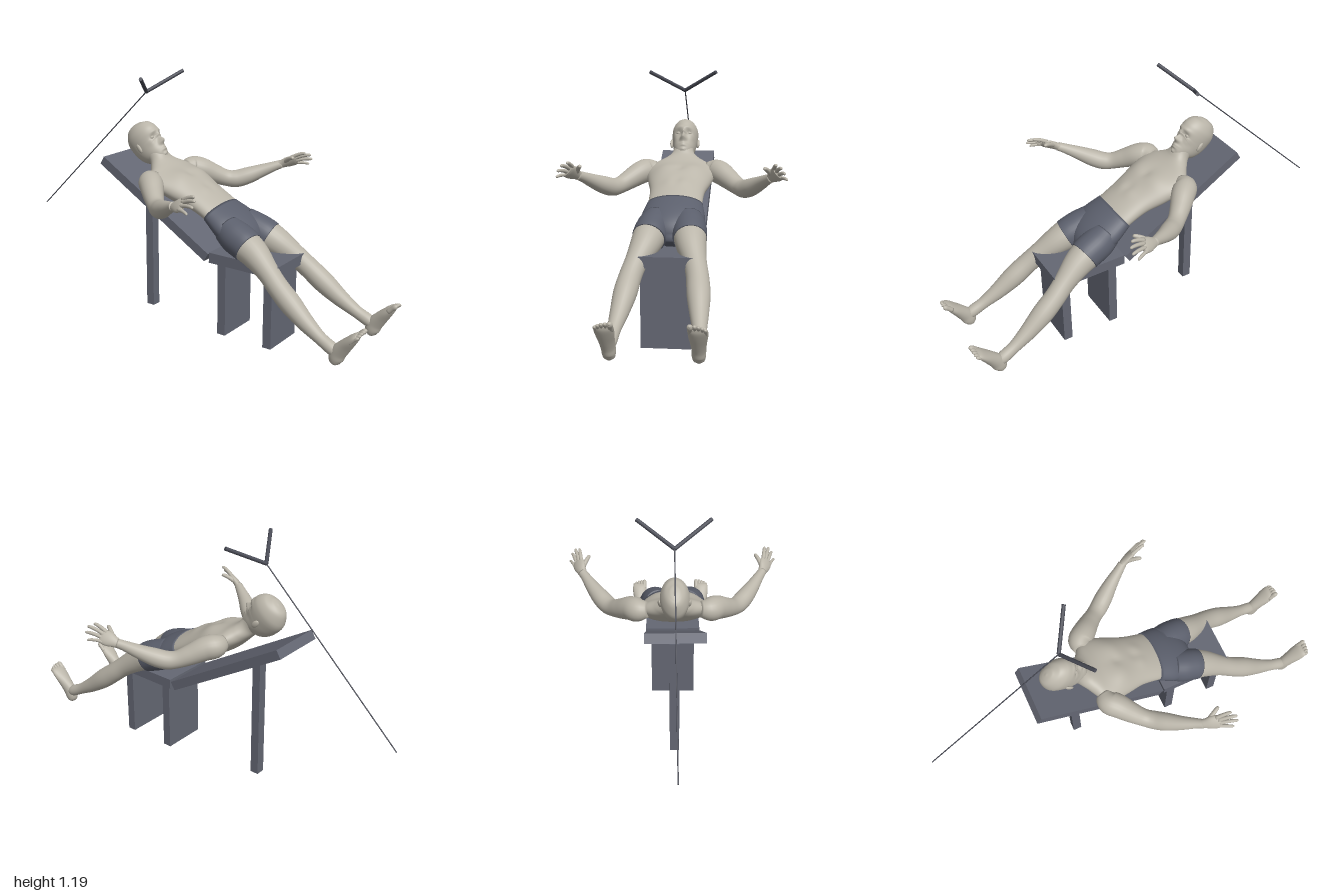
import * as THREE from 'three';

const paint = (name, color) => {
  const m = new THREE.MeshStandardMaterial({ color });
  m.name = name;
  return m;
};
const V = (x, y, z) => new THREE.Vector3(x, y, z);

// Smooth skin through elliptical sections [x, y, z, halfWidth, halfDepth]
function loft(rows, { side = [1, 0, 0], seg = 24, steps = 32, warp } = {}) {
  const spine = new THREE.CatmullRomCurve3(rows.map(r => V(r[0], r[1], r[2])), false, 'catmullrom');
  const radii = new THREE.CatmullRomCurve3(rows.map(r => V(r[3], r[4] ?? r[3], 0)), false, 'catmullrom');
  const pos = [], index = [];
  for (let i = 0; i <= steps; i++) {
    const t = i / steps, c = spine.getPoint(t), T = spine.getTangent(t), r = radii.getPoint(t);
    const S = V(...side);
    S.addScaledVector(T, -S.dot(T)).normalize();
    const N = S.clone().cross(T);
    for (let j = 0; j < seg; j++) {
      const a = j / seg * Math.PI * 2;
      const p = c.clone().addScaledVector(S, Math.cos(a) * r.x).addScaledVector(N, Math.sin(a) * r.y);
      if (warp) warp(p);
      pos.push(p.x, p.y, p.z);
    }
  }
  const at = (i, j) => i * seg + j % seg, end = (steps + 1) * seg;
  for (const r of [rows[0], rows[rows.length - 1]]) {
    const p = V(r[0], r[1], r[2]);
    if (warp) warp(p);
    pos.push(p.x, p.y, p.z);
  }
  for (let j = 0; j < seg; j++) {
    for (let i = 0; i < steps; i++) {
      index.push(at(i, j), at(i + 1, j), at(i, j + 1), at(i, j + 1), at(i + 1, j), at(i + 1, j + 1));
    }
    index.push(end, at(0, j), at(0, j + 1), end + 1, at(steps, j + 1), at(steps, j));
  }
  const g = new THREE.BufferGeometry();
  g.setAttribute('position', new THREE.Float32BufferAttribute(pos, 3));
  g.setIndex(index);
  g.computeVertexNormals();
  return g;
}

const bell = (d, s) => Math.exp(-(d / s) * (d / s));

// Face relief: [x, y, amount, spreadX, spreadY]
const FACE = [
  [0, -0.046, 0.026, 0.011, 0.015], [0, -0.022, 0.012, 0.008, 0.022], [0.011, -0.05, 0.008, 0.007, 0.008],
  [0.026, -0.008, -0.013, 0.015, 0.011], [0.022, 0.013, 0.005, 0.02, 0.008], [0, -0.075, 0.007, 0.019, 0.005],
  [0, -0.086, 0.006, 0.016, 0.005], [0, -0.106, 0.007, 0.016, 0.01], [0.042, -0.035, 0.004, 0.014, 0.014],
];
const faceWarp = p => {
  if (p.z < 0.03) return;
  let d = 0;
  for (const [x, y, k, sx, sy] of FACE) d += k * bell(Math.abs(p.x) - x, sx) * bell(p.y - y, sy);
  p.z += d * Math.min(1, (p.z - 0.03) / 0.02);
};

// Muscle relief pushed along the body's front direction: [x, y, z, amount, spread]
const MUSCLE = [
  [0.075, 0.735, -0.03, 0.010, 0.055], [0, 0.735, -0.02, -0.006, 0.025], [0, 0.69, 0.07, -0.004, 0.025],
  [0.035, 0.675, 0.09, 0.004, 0.03], [0.065, 0.43, 0.24, -0.012, 0.06], [0, 0.6, -0.08, 0.008, 0.035],
];
const bodyWarp = p => {
  let d = 0;
  for (const [x, y, z, k, s] of MUSCLE) d += k * bell(Math.hypot(Math.abs(p.x) - x, p.y - y, p.z - z), s);
  p.y += d * 0.88;
  p.z += d * 0.47;
};

export function createModel() {
  const root = new THREE.Group();
  root.name = 'recliningFigure';
  const skin = paint('skin', 0xbab5a9), cloth = paint('shorts', 0x5b5f6c);
  const board = paint('bench', 0x646773), dark = paint('darkRod', 0x484a54);

  const add = (name, geo, mat, parent = root) => {
    const m = new THREE.Mesh(geo, mat);
    m.name = name;
    parent.add(m);
    return m;
  };

  // Bench
  const box = (name, w, h, d, x, y, z) => {
    const m = add(name, new THREE.BoxGeometry(w, h, d), board);
    m.position.set(x, y, z);
    return m;
  };
  box('seat', 0.27, 0.05, 0.36, 0, 0.385, 0.36);
  box('backrest', 0.27, 0.045, 0.73, 0, 0.568, -0.15).rotation.x = 0.537;
  box('frontLeg', 0.22, 0.36, 0.043, 0, 0.18, 0.487);
  box('middleLeg', 0.22, 0.36, 0.043, 0, 0.18, 0.235);
  box('backPost', 0.045, 0.61, 0.043, 0, 0.305, -0.262);

  // Overhead forked bar and its cord
  const rod = (name, a, b, r) => {
    const dir = b.clone().sub(a);
    const m = add(name, new THREE.CylinderGeometry(r, r, dir.length(), 12), dark);
    m.position.copy(a).add(b).multiplyScalar(0.5);
    m.quaternion.setFromUnitVectors(V(0, 1, 0), dir.normalize());
  };
  const fork = V(0, 1.093, -0.287);
  rod('cord', fork, V(0, 0.41, -1), 0.0028);
  for (const s of [1, -1]) rod('forkBar', fork, V(s * 0.163, 1.185, -0.187), 0.009);

  // Torso and shorts
  add('torso', loft([
    [0, 0.535, 0.215, 0.125, 0.06], [0, 0.58, 0.15, 0.126, 0.056], [0, 0.625, 0.06, 0.13, 0.062],
    [0, 0.66, -0.03, 0.152, 0.07], [0, 0.69, -0.1, 0.165, 0.062], [0, 0.722, -0.15, 0.145, 0.05],
    [0, 0.75, -0.185, 0.09, 0.046], [0, 0.78, -0.212, 0.054, 0.047], [0, 0.82, -0.25, 0.05, 0.05],
  ], { seg: 64, steps: 64, warp: bodyWarp }), skin);
  add('shortsSeat', loft([
    [0, 0.425, 0.335, 0.03, 0.035], [0, 0.445, 0.325, 0.075, 0.055], [0, 0.48, 0.295, 0.13, 0.074],
    [0, 0.525, 0.235, 0.146, 0.074], [0, 0.578, 0.153, 0.13, 0.059],
  ], { seg: 48, steps: 32, warp: bodyWarp }), cloth);

  // Head
  const head = new THREE.Group();
  head.name = 'head';
  head.position.set(0, 0.845, -0.29);
  head.rotation.x = -0.7;
  root.add(head);
  add('skull', loft([
    [0, -0.119, 0.056, 0.012, 0.012], [0, -0.108, 0.046, 0.032, 0.036], [0, -0.08, 0.026, 0.048, 0.058],
    [0, -0.05, 0.008, 0.056, 0.08], [0, -0.02, 0, 0.061, 0.09], [0, 0.02, -0.002, 0.065, 0.094],
    [0, 0.05, -0.004, 0.062, 0.087], [0, 0.08, -0.006, 0.047, 0.066], [0, 0.097, -0.006, 0.026, 0.036],
    [0, 0.103, -0.006, 0.003, 0.004],
  ], { seg: 80, steps: 72, warp: faceWarp }), skin, head);

  for (const s of [1, -1]) {
    const side = s > 0 ? 'left' : 'right';
    const limb = (name, rows, mat = skin, opt = {}) =>
      add(side + name, loft(rows.map(([x, ...r]) => [s * x, ...r]), opt), mat);
    const ball = (name, x, y, z, sx, sy, sz) => {
      const m = add(side + name, new THREE.SphereGeometry(1, 16, 12), skin, head);
      m.position.set(s * x, y, z);
      m.scale.set(sx, sy, sz);
      return m;
    };
    ball('Ear', 0.066, -0.022, -0.008, 0.008, 0.024, 0.014).rotation.y = s * 0.35;
    ball('Eye', 0.026, -0.009, 0.065, 0.012, 0.008, 0.01);

    // Arm
    limb('Arm', [
      [0.12, 0.712, -0.145, 0.036], [0.165, 0.706, -0.135, 0.055], [0.2, 0.695, -0.1, 0.056],
      [0.245, 0.668, -0.055, 0.048], [0.285, 0.645, -0.01, 0.041], [0.315, 0.64, 0.03, 0.043],
      [0.35, 0.655, 0.075, 0.042], [0.39, 0.68, 0.13, 0.033], [0.425, 0.705, 0.185, 0.024],
      [0.445, 0.717, 0.215, 0.021],
    ], skin, { side: [0, 1, 0], steps: 48 });

    // Hand
    limb('Palm', [
      [0.435, 0.71, 0.2, 0.02, 0.018], [0.447, 0.72, 0.222, 0.025, 0.017], [0.458, 0.731, 0.248, 0.034, 0.016],
      [0.468, 0.74, 0.275, 0.034, 0.013], [0.472, 0.743, 0.288, 0.026, 0.008],
    ], skin, { side: [s * 0.68, -0.73, 0] });
    const fingers = [
      ['Thumb', [0.442, 0.735, 0.238], [0.412, 0.768, 0.3], 0.0105],
      ['Index', [0.452, 0.757, 0.268], [0.464, 0.787, 0.338], 0.009],
      ['Middle', [0.464, 0.75, 0.275], [0.487, 0.776, 0.357], 0.009],
      ['Ring', [0.475, 0.737, 0.275], [0.503, 0.752, 0.357], 0.0085],
      ['Little', [0.483, 0.722, 0.268], [0.514, 0.722, 0.335], 0.0075],
    ];
    for (const [name, a, b, r] of fingers) {
      const on = (t, k, lift = 0) => [...a.map((v, i) => v + (b[i] - v) * t + (i === 1 ? lift : 0)), r * k];
      limb(name + 'Finger', [on(0, 1.1), on(0.4, 1, 0.004), on(0.75, 0.9, 0.003), on(0.95, 0.7), on(1, 0.15)],
        skin, { side: [1, 0.2, 0], seg: 12, steps: 14 });
    }

    // Leg
    limb('Leg', [
      [0.08, 0.495, 0.29, 0.068], [0.09, 0.468, 0.355, 0.073], [0.102, 0.437, 0.415, 0.066],
      [0.126, 0.383, 0.495, 0.051], [0.143, 0.332, 0.558, 0.049], [0.154, 0.275, 0.63, 0.05],
      [0.164, 0.215, 0.71, 0.04], [0.173, 0.165, 0.79, 0.029], [0.178, 0.135, 0.85, 0.029],
      [0.178, 0.122, 0.875, 0.024],
    ], skin, { steps: 48 });
    limb('ShortsLeg', [
      [0.07, 0.52, 0.24, 0.07], [0.08, 0.495, 0.29, 0.078], [0.087, 0.475, 0.34, 0.078], [0.092, 0.46, 0.37, 0.076],
    ], cloth, { seg: 32 });

    // Foot
    limb('Foot', [
      [0.178, 0.064, 0.872, 0.008, 0.007], [0.178, 0.074, 0.872, 0.022, 0.022], [0.178, 0.095, 0.874, 0.028, 0.034],
      [0.179, 0.125, 0.885, 0.029, 0.036], [0.18, 0.16, 0.912, 0.033, 0.031], [0.181, 0.195, 0.942, 0.039, 0.024],
      [0.182, 0.22, 0.964, 0.039, 0.017], [0.182, 0.233, 0.976, 0.032, 0.008],
    ], skin, { steps: 36 });
    for (let i = 0; i < 5; i++) {
      const x = [0.153, 0.171, 0.186, 0.2, 0.212][i], r = [0.012, 0.009, 0.0085, 0.008, 0.0075][i];
      const drop = [0, 0, 0.003, 0.008, 0.015][i];
      const at = (y, z, k) => [x, y - drop, z - drop * 0.5, r * k];
      limb('Toe', [at(0.212, 0.956, 1), at(0.23, 0.974, 0.95), at(0.241, 0.987, 1), at(0.244, 0.995, 0.7),
        at(0.244, 0.999, 0.15)], skin, { seg: 12, steps: 12 });
    }
  }
  return root;
}
